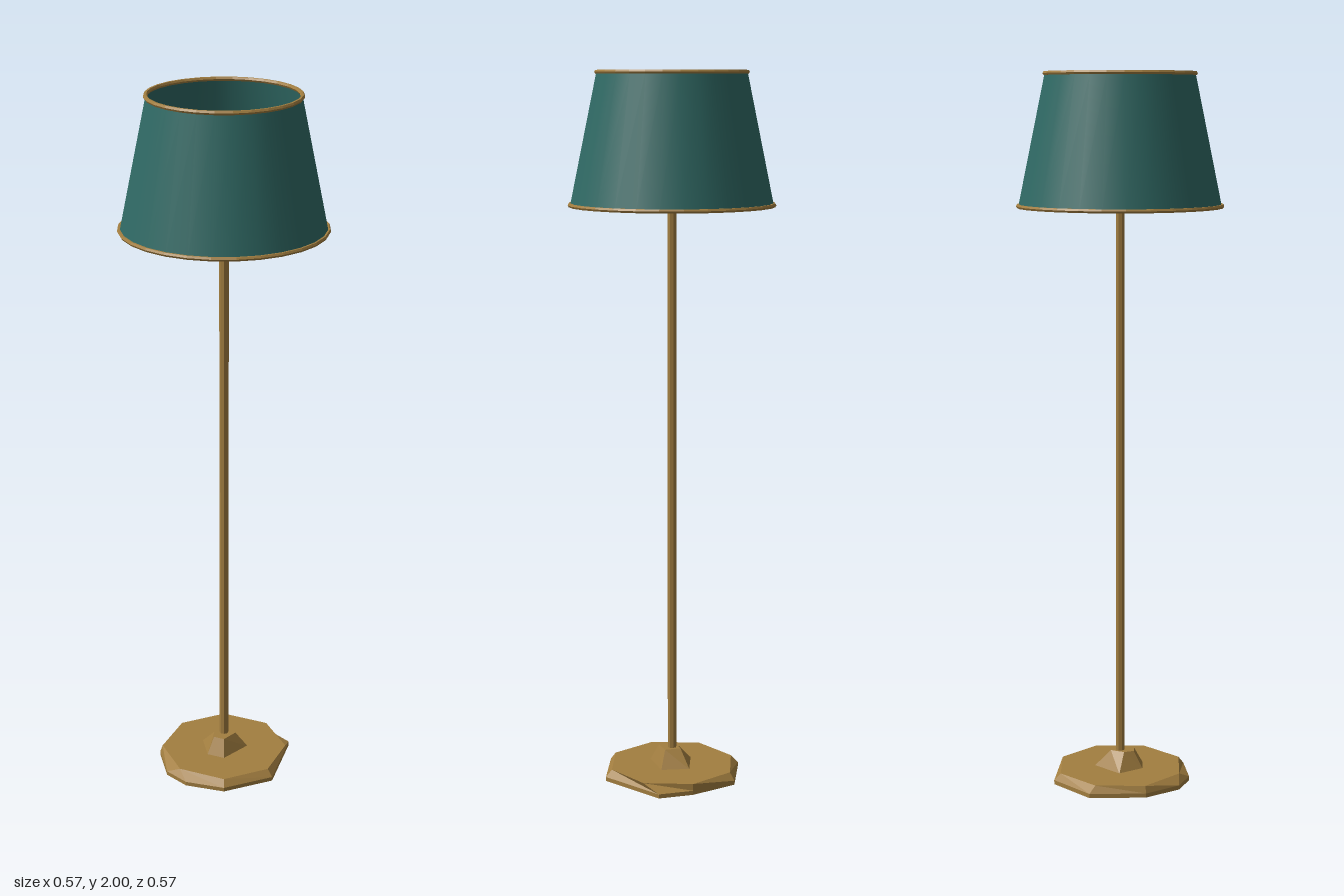
import * as THREE from 'three';

const SHADE_SIDES = 28;

// Low-poly solid between stacked rings of [x, z] corners, capped at both ends.
// Corners run from +x towards +z.
function loft(rings, heights) {
  const pos = [];
  const n = rings[0].length;
  const at = (r, i) => [rings[r][i % n][0], heights[r], rings[r][i % n][1]];
  for (let r = 0; r < rings.length - 1; r++) {
    for (let i = 0; i < n; i++) {
      const a = at(r, i), b = at(r, i + 1), c = at(r + 1, i + 1), d = at(r + 1, i);
      pos.push(...a, ...c, ...b, ...a, ...d, ...c);
    }
  }
  const last = rings.length - 1;
  for (let i = 0; i < n; i++) {
    pos.push(0, heights[0], 0, ...at(0, i), ...at(0, i + 1));
    pos.push(0, heights[last], 0, ...at(last, i + 1), ...at(last, i));
  }
  const g = new THREE.BufferGeometry();
  g.setAttribute('position', new THREE.Float32BufferAttribute(pos, 3));
  g.computeVertexNormals();
  return g;
}

export function createModel() {
  const brass = new THREE.MeshStandardMaterial({ name: 'brass', color: 0xa27e40, flatShading: true });
  const teal = new THREE.MeshStandardMaterial({ name: 'tealFabric', color: 0x306a65, side: THREE.DoubleSide });
  const glass = new THREE.MeshStandardMaterial({ name: 'bulbGlass', color: 0xf0e4ca });

  const lamp = new THREE.Group();
  lamp.name = 'floorLamp';
  const add = (name, geometry, material, y = 0) => {
    const mesh = new THREE.Mesh(geometry, material);
    mesh.name = name;
    mesh.position.y = y;
    lamp.add(mesh);
    return mesh;
  };

  // Uneven faceted foot with an octagonal top
  const foot = [[0.2, 0], [0.141, 0.141], [0.04, 0.197], [-0.04, 0.197], [-0.135, 0.135],
    [-0.2, -0.01], [-0.137, -0.147], [0, -0.182], [0.1, -0.177]];
  const footTop = [[0.182, 0], [0.13, 0.13], [0, 0.182], [0, 0.182], [-0.13, 0.13],
    [-0.182, 0], [-0.13, -0.13], [0, -0.182], [0.13, -0.13]];
  add('base', loft([foot, foot, footTop], [0, 0.012, 0.032]), brass);

  // Five-sided collar around the foot of the pole
  const collar = [[0.05, -0.05], [0.05, 0.05], [0, 0.07], [-0.067, 0.025], [-0.03, -0.068]];
  const collarTop = [[0.028, -0.02], [0.03, 0.03], [0, 0.042], [-0.02, 0.02], [-0.018, -0.022]];
  add('baseCollar', loft([collar, collarTop], [0.03, 0.08]), brass);

  // Pole, socket and bulb
  add('pole', new THREE.CylinderGeometry(0.013, 0.013, 1.63, 8), brass, 0.845);
  add('socket', new THREE.CylinderGeometry(0.026, 0.022, 0.045, 8), brass, 1.675);
  add('bulb', new THREE.SphereGeometry(0.052, 24, 16), glass, 1.735);

  // Open tapered shade with brass rims
  add('shade', new THREE.CylinderGeometry(0.205, 0.279, 0.357, SHADE_SIDES, 1, true), teal, 1.8155);
  for (const [name, radius, y] of [['shadeTopRim', 0.205, 1.994], ['shadeBottomRim', 0.28, 1.637]]) {
    const rim = new THREE.TorusGeometry(radius, 0.006, 6, SHADE_SIDES);
    rim.rotateX(Math.PI / 2).rotateY(Math.PI / 2);
    add(name, rim, brass, y);
  }

  return lamp;
}
